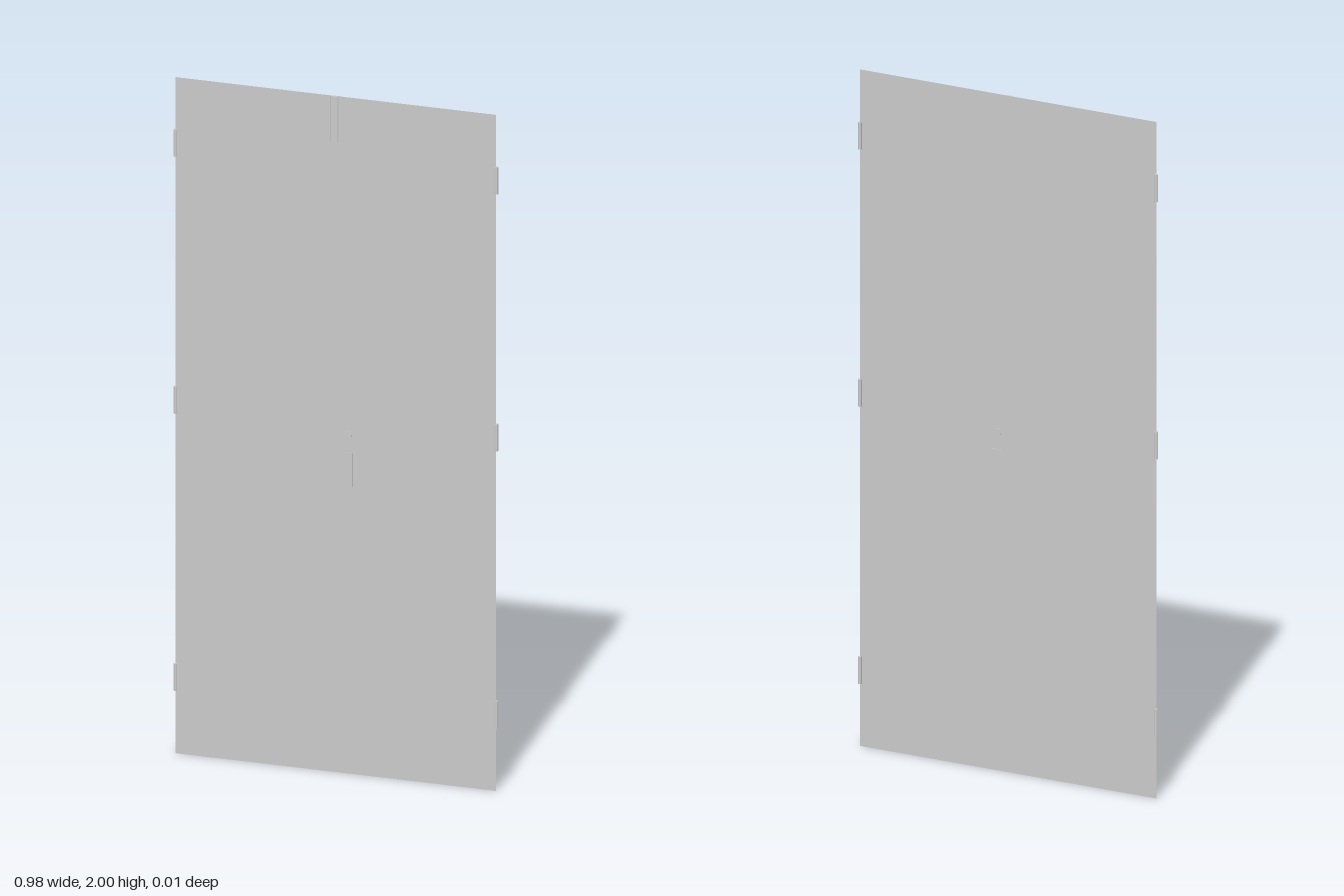
import * as THREE from 'three';

export function createModel() {
  const model = new THREE.Group();
  const material = new THREE.MeshStandardMaterial({ color: 0xcccccc, side: THREE.DoubleSide, flatShading: true });
  const add = (name, geometry, x, y, z) => {
    const mesh = new THREE.Mesh(geometry, material);
    mesh.name = name;
    mesh.position.set(x, y, z);
    model.add(mesh);
    return mesh;
  };

  // Two thin sheet leaves, each with three hinge knuckles on its outer edge
  for (const [side, s] of [['left', 1], ['right', -1]]) {
    add(side + 'DoorLeaf', new THREE.PlaneGeometry(0.485, 2), s * 0.2425, 1, 0.001);
    for (const y of [0.225, 1.045, 1.805]) {
      add(side + 'Hinge', new THREE.CylinderGeometry(0.006, 0.006, 0.08, 8), s * 0.485, y, -0.001);
    }
  }

  // Narrow strip covering the joint between the leaves
  add('meetingStrip', new THREE.BoxGeometry(0.008, 1.935, 0.003), 0.006, 1.0325, 0.001);

  // Bevelled bolt housing at the top of the joint
  const profile = new THREE.Shape([
    [-0.016, -0.001], [0.01, -0.001], [0.01, 0.002], [0.006, 0.006], [-0.012, 0.006], [-0.016, 0.002],
  ].map(([x, z]) => new THREE.Vector2(x, -z)));
  const bolt = new THREE.ExtrudeGeometry(profile, { depth: 0.135, bevelEnabled: false });
  bolt.rotateX(-Math.PI / 2);
  add('topBolt', bolt, 0, 1.865, 0);

  // Handle plate and lock cylinder, showing on both faces of the left leaf
  add('handlePlate', new THREE.BoxGeometry(0.03, 0.1, 0.004), 0.037, 0.9, 0.001);
  const lock = new THREE.CylinderGeometry(0.012, 0.012, 0.004, 16);
  lock.rotateX(Math.PI / 2);
  add('lockCylinder', lock, 0.037, 1.0, 0.001);

  return model;
}
